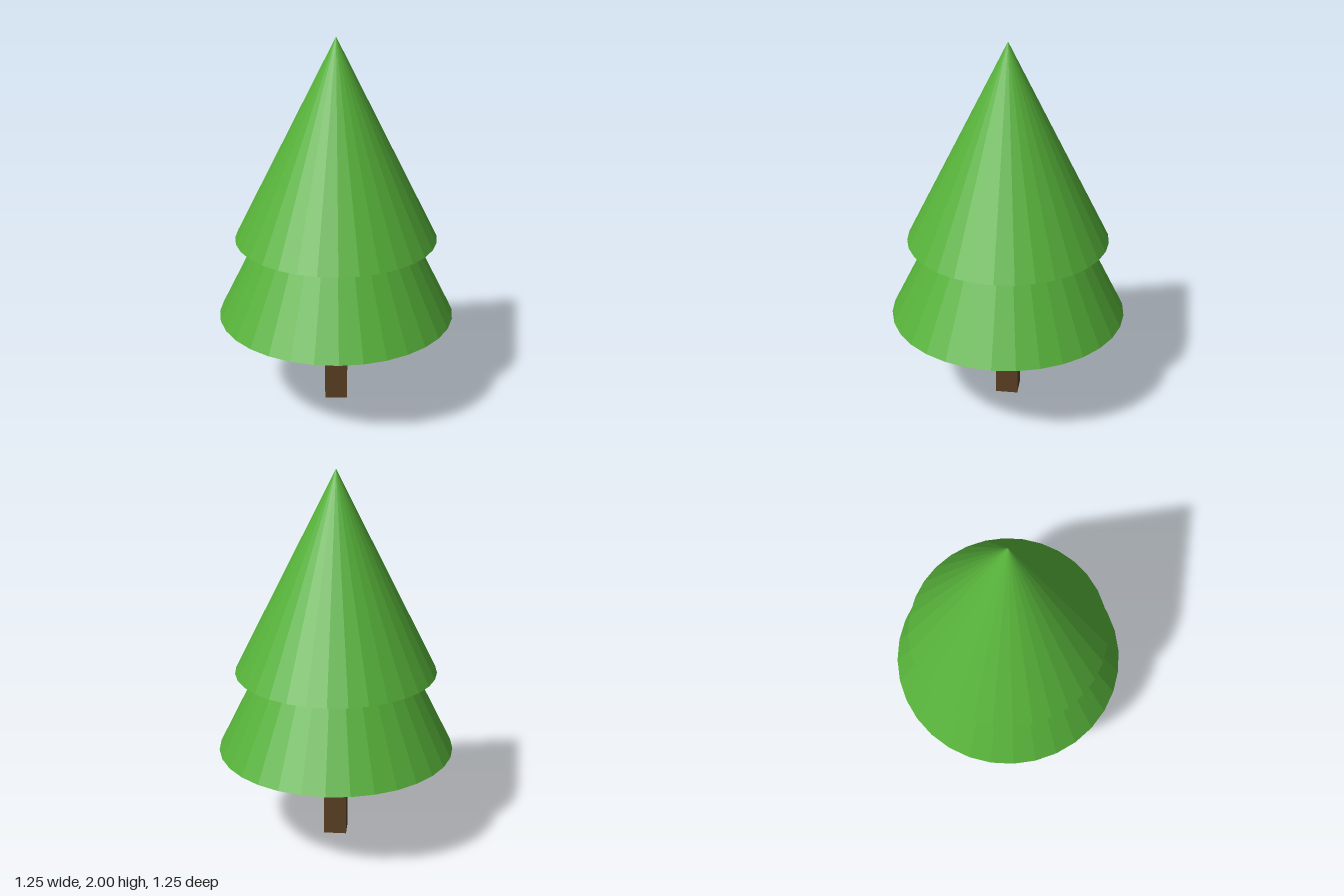
import * as THREE from 'three';

export function createModel() {
  const tree = new THREE.Group();
  tree.name = 'tree';

  const leafGreen = new THREE.MeshStandardMaterial({ color: 0x57b23a, flatShading: true });
  leafGreen.name = 'leafGreen';
  const barkBrown = new THREE.MeshStandardMaterial({ color: 0x5c4023 });
  barkBrown.name = 'barkBrown';

  // Adds a mesh whose base sits at the given height
  const add = (name, geometry, material, height, base) => {
    const mesh = new THREE.Mesh(geometry, material);
    mesh.name = name;
    mesh.position.y = base + height / 2;
    tree.add(mesh);
  };

  // Square trunk, reaching just inside the foliage
  add('trunk', new THREE.BoxGeometry(0.12, 0.53, 0.12), barkBrown, 0.53, 0);

  // Two overlapping foliage cones with closed undersides
  const tiers = [
    { name: 'lowerFoliage', radius: 0.625, height: 1.26, base: 0.508 },
    { name: 'upperFoliage', radius: 0.53, height: 1.062, base: 0.938 },
  ];
  for (const { name, radius, height, base } of tiers) {
    add(name, new THREE.ConeGeometry(radius, height, 32), leafGreen, height, base);
  }

  return tree;
}
